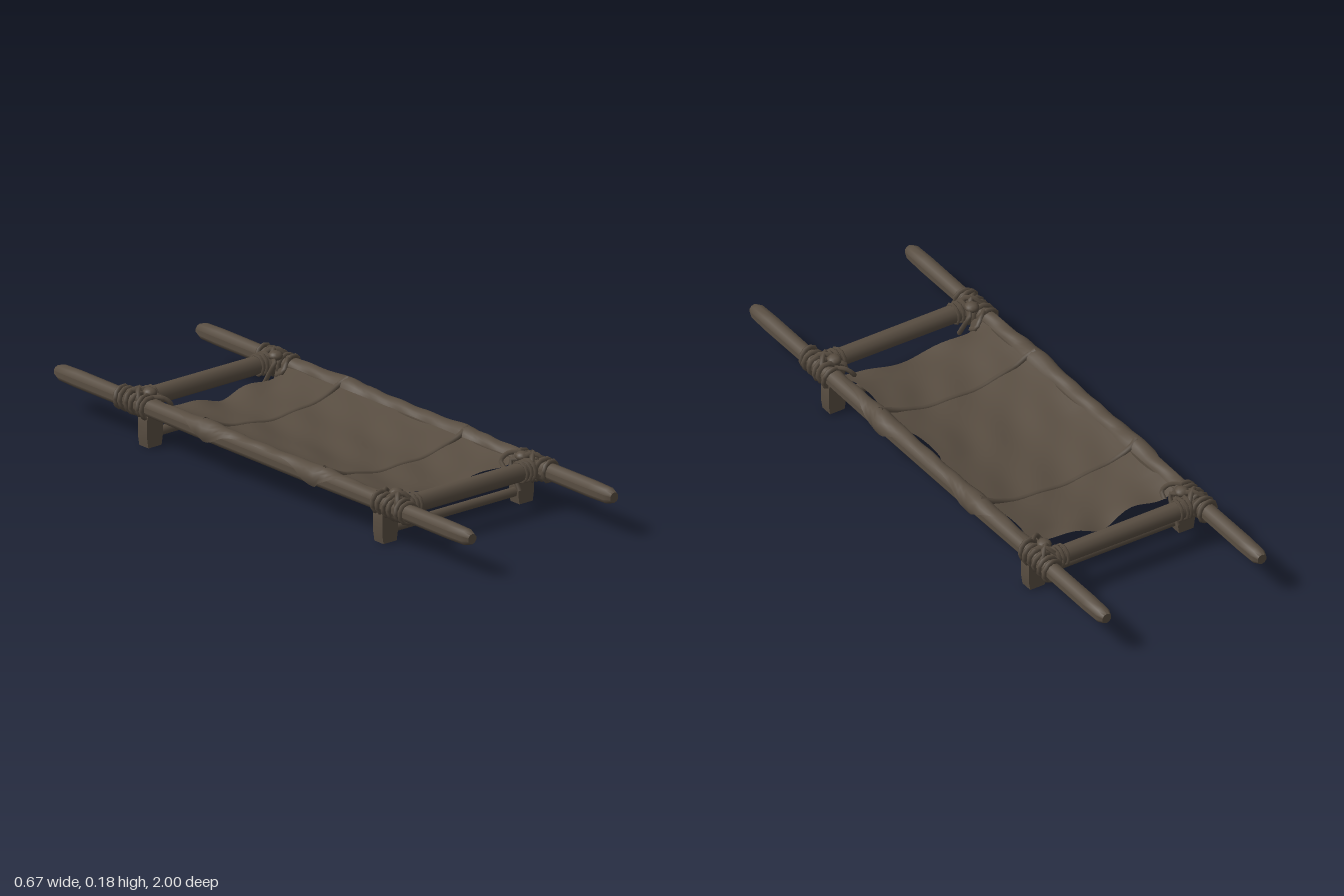
import * as THREE from 'three';
import { toCreasedNormals } from 'three/addons/utils/BufferGeometryUtils.js';

const POLE_X = 0.29, POLE_Y = 0.13;
const clamp = THREE.MathUtils.clamp;

export function createModel() {
  const group = new THREE.Group();
  const wood = new THREE.MeshStandardMaterial({ name: 'weatheredWood', color: 0x594e42 });
  const cloth = new THREE.MeshStandardMaterial({ name: 'dullCanvas', color: 0x584d41, side: THREE.DoubleSide });
  const rope = new THREE.MeshStandardMaterial({ name: 'oldRope', color: 0x574c40 });

  let seed = 7;
  const rand = () => (seed = (seed * 16807) % 2147483647) / 2147483647 - 0.5;

  function add(name, geometry, material, x = 0, y = 0, z = 0) {
    const mesh = new THREE.Mesh(geometry, material);
    mesh.name = name;
    mesh.position.set(x, y, z);
    group.add(mesh);
    return mesh;
  }

  // Open grid of cloth from a function of two 0..1 parameters
  function sheet(nu, nv, at) {
    const pos = [], idx = [];
    for (let j = 0; j <= nv; j++)
      for (let i = 0; i <= nu; i++) pos.push(...at(i / nu, j / nv));
    for (let j = 0; j < nv; j++)
      for (let i = 0; i < nu; i++) {
        const a = j * (nu + 1) + i, b = a + nu + 1;
        idx.push(a, b, a + 1, a + 1, b, b + 1);
      }
    const g = new THREE.BufferGeometry();
    g.setAttribute('position', new THREE.Float32BufferAttribute(pos, 3));
    g.setIndex(idx);
    g.computeVertexNormals();
    return g;
  }

  // Long carrying poles with whittled ends
  const poleProfile = [[0, -1], [0.017, -1], [0.027, -0.975], [0.029, -0.9], [0.028, -0.6], [0.031, -0.2],
    [0.031, 0.2], [0.028, 0.6], [0.029, 0.9], [0.027, 0.975], [0.017, 1], [0, 1]];
  for (const s of [-1, 1]) {
    const g = new THREE.LatheGeometry(poleProfile.map(p => new THREE.Vector2(...p)), 10);
    add('pole', toCreasedNormals(g.rotateX(Math.PI / 2), 0.7), wood, s * POLE_X, POLE_Y, 0);
  }

  // One coil of rope round an axis, slightly tilted and uneven
  function coil(x, y, z, alongX, radius, tube, tilt, spin = 0) {
    const g = new THREE.TorusGeometry(radius, tube, 5, 10);
    const m = add('ropeCoil', g, rope, x, y, z);
    m.rotation.set(tilt, (alongX ? Math.PI / 2 : 0) + spin, rand() * 3);
    return m;
  }

  for (const e of [-1, 1]) {
    // Spreader bar and thin lower rail
    add('spreaderBar', new THREE.CylinderGeometry(0.031, 0.03, 0.56, 10).rotateZ(Math.PI / 2), wood, 0, POLE_Y, e * 0.635);
    add('lowerRail', new THREE.CylinderGeometry(0.016, 0.016, 0.54, 8).rotateZ(Math.PI / 2), wood, 0, 0.039, e * 0.568);

    for (const s of [-1, 1]) {
      // Rough-hewn leg, widest where the rail joins
      const leg = new THREE.BoxGeometry(0.054, 0.125, 0.044, 1, 4, 1);
      const p = leg.attributes.position;
      for (let i = 0; i < p.count; i++) {
        const y = p.getY(i), bulge = Math.abs(y) < 0.04 ? 0.005 : 0;
        p.setX(i, p.getX(i) + Math.sign(p.getX(i)) * (bulge - (y > 0.04 ? 0.004 : 0)));
      }
      leg.computeVertexNormals();
      add('leg', leg, wood, s * 0.278, 0.064, e * 0.567);

      // Lashing round the pole
      for (let k = 0; k < 6; k++)
        coil(s * POLE_X, POLE_Y + rand() * 0.004, e * (0.555 + k * 0.027), false,
          0.033 + rand() * 0.003, 0.009, rand() * 0.25, rand() * 0.35);
      // Lashing round the spreader bar
      for (let k = 0; k < 3; k++)
        coil(s * (0.214 + k * 0.017), POLE_Y, e * 0.635, true, 0.032, 0.006 + k * 0.001, 0, rand() * 0.3);
      // Diagonal turns over the corner
      for (const d of [-1, 1]) {
        const c = coil(s * 0.275, POLE_Y + 0.002, e * 0.625, false, 0.04, 0.009, 0, d * 0.75);
        c.scale.set(1.1, 1, 1);
      }
      // Knot and hanging rope end
      const knot = add('knot', new THREE.IcosahedronGeometry(0.018, 1), rope, s * 0.257, 0.163, e * 0.595);
      knot.scale.set(1.3, 0.9, 1.4);
      const tail = new THREE.CatmullRomCurve3([[0.25, 0.155, 0.6], [0.232, 0.15, 0.57], [0.226, 0.11, 0.59],
        [0.226, 0.06, 0.62]].map(([x, y, z]) => new THREE.Vector3(s * x, y, e * z)));
      add('ropeEnd', new THREE.TubeGeometry(tail, 8, 0.008, 5), rope);
      const tie = new THREE.CatmullRomCurve3([[0.28, 0.162, 0.56], [0.25, 0.158, 0.535], [0.228, 0.135, 0.525],
        [0.222, 0.118, 0.55]].map(([x, y, z]) => new THREE.Vector3(s * x, y, e * z)));
      add('ropeTie', new THREE.TubeGeometry(tie, 8, 0.008, 5), rope);
    }
  }

  // Gaps where the canvas pulls away from the poles: [side, z, half length, depth]
  const gaps = [[1, 0.07, 0.09, 0.016], [-1, 0.06, 0.08, 0.01], [-1, -0.37, 0.08, 0.014],
    [1, -0.42, 0.07, 0.01], [1, 0.42, 0.08, 0.014], [-1, 0.43, 0.07, 0.01]];
  function edgeX(side, z) {
    let x = 0.264;
    for (const [s, c, h, d] of gaps)
      if (s === side) x -= d * Math.sqrt(Math.max(0, 1 - ((z - c) / h) ** 2));
    return x;
  }
  // Height of the sagging canvas, with soft creases
  function sagY(u, z) {
    const end = clamp((Math.abs(z) - 0.47) / 0.08, 0, 1);
    const sag = 0.04 * (1 - u * u);
    const crease = 0.004 * Math.sin(u * 9 + z * 14) * Math.sin(z * 11 + 1) * (1 - u ** 4);
    return 0.143 - sag + crease - 0.01 * end * Math.cos(u * 7);
  }

  // Sagging canvas bed with wavy ends
  add('canvasBed', sheet(24, 56, (a, b) => {
    const u = a * 2 - 1, v = b * 2 - 1;
    const z = v * (0.54 + 0.01 * Math.cos(u * 6 + v) * Math.abs(v));
    return [u * edgeX(Math.sign(u) || 1, z), sagY(u, z), z];
  }), cloth);

  // Canvas flaps folded over the poles, widest at the seams
  for (const s of [-1, 1])
    add('canvasFlap', sheet(8, 44, (a, b) => {
      const z = (b * 2 - 1) * 0.54;
      const pull = Math.exp(-(((Math.abs(z) - 0.27) / 0.09) ** 2));
      const r = 0.033 + 0.006 * pull + 0.0015 * Math.sin(z * 45 + a * 4);
      const start = 2.75, stop = 1.35 - 1.6 * pull - (Math.abs(z) < 0.28 ? 0.5 : 0);
      const t = start + (stop - start) * a;
      return [s * (POLE_X + r * Math.cos(t) * 0.95), POLE_Y + r * Math.sin(t), z];
    }), cloth);

  // Rolled seams crossing the bed and climbing onto the poles
  for (const e of [-1, 1]) {
    const pts = [];
    for (let i = -6; i <= 6; i++) {
      const u = i / 6;
      pts.push(new THREE.Vector3(u * 0.265, sagY(u, e * 0.29) - 0.004 + 0.012 * u ** 6,
        e * (0.288 + 0.006 * u * u)));
    }
    pts.unshift(new THREE.Vector3(-0.292, 0.166, e * 0.285));
    pts.push(new THREE.Vector3(0.292, 0.166, e * 0.285));
    add('seamRoll', new THREE.TubeGeometry(new THREE.CatmullRomCurve3(pts), 32, 0.01, 6), cloth);
  }
  return group;
}
